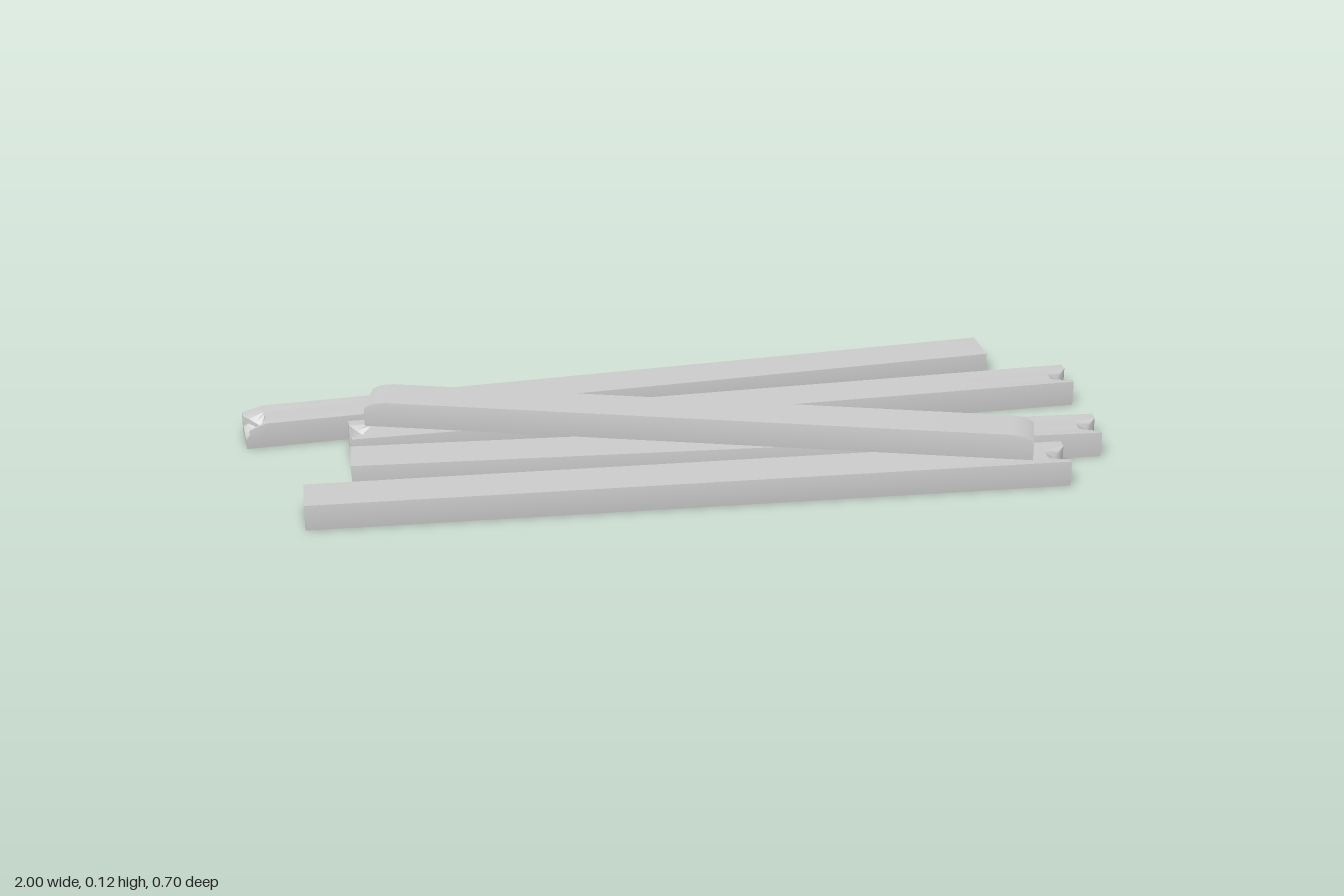
import * as THREE from 'three';
import { toCreasedNormals } from 'three/addons/utils/BufferGeometryUtils.js';

const H = 0.062, END = 0.05;
const tent = (v, c, w) => Math.max(0, 1 - Math.abs(v - c) / w);

// End shapes: u is height 0..1, v is across the width -1..1.
// Each returns [pull back along the length, drop in height].
const ends = {
  flat: () => [0, 0],
  // V-shaped split in the upper face
  split: (u, v) => [0.035 * u * tent(v, 0.1, 0.6), 0.018 * u * u * tent(v, 0.1, 0.6)],
  // lower half broken away
  undercut: (u, v) => [0.03 * (1 - u) * tent(v, 0, 1.1), 0],
  // upper half broken away, leaving a tongue
  tongue: (u, v) => [u > 0.6 ? 0.045 * tent(v, 0.35, 0.8) : 0, 0.012 * u + 0.016 * u * tent(v, 0.4, 0.7)],
  // worn top edge
  chamfer: (u, v) => [u > 0.9 ? 0.02 : 0, u > 0.9 ? 0.004 : 0],
};

// Beam lying between two points in plan, with a shape for each end
function beam(name, [x0, z0], [x1, z1], y, width, startEnd, finishEnd) {
  const dx = x1 - x0, dz = z1 - z0, length = Math.hypot(dx, dz);
  const geo = new THREE.BoxGeometry(length, H, width, 10, 4, 8);
  const p = geo.attributes.position;
  for (let i = 0; i < p.count; i++) {
    const x = p.getX(i), s = Math.sign(x), t = Math.abs(x) / (length / 2);
    const u = p.getY(i) / H + 0.5, v = p.getZ(i) / (width / 2);
    if (t > 0.99) {
      const [pull, drop] = ends[s < 0 ? startEnd : finishEnd](u, v);
      p.setX(i, x - s * pull);
      p.setY(i, p.getY(i) - drop);
    } else if (t > 0.75) {
      p.setX(i, s * (length / 2 - END)); // keeps the damage close to the end
    }
    // slightly eased long edges
    if (Math.abs(v) > 0.99 && (u > 0.99 || u < 0.01)) p.setZ(i, p.getZ(i) * 0.97);
  }
  geo.deleteAttribute('uv');
  const mesh = new THREE.Mesh(
    toCreasedNormals(geo, 0.45),
    new THREE.MeshStandardMaterial({ color: 0xcccccc })
  );
  mesh.name = name;
  mesh.position.set((x0 + x1) / 2, y + H / 2, (z0 + z1) / 2);
  mesh.rotation.y = -Math.atan2(dz, dx);
  return mesh;
}

export function createModel() {
  const group = new THREE.Group();
  group.name = 'beamPile';
  group.add(
    // beams lying on the ground, back to front
    beam('backBeam', [-0.995, -0.125], [0.82, -0.3], 0, 0.102, 'tongue', 'undercut'),
    beam('innerBackBeam', [-0.748, -0.02], [0.996, -0.117], 0, 0.102, 'split', 'split'),
    beam('innerFrontBeam', [-0.75, 0.115], [0.998, 0.16], 0, 0.104, 'undercut', 'split'),
    beam('frontBeam', [-0.86, 0.295], [0.89, 0.295], 0, 0.108, 'flat', 'split'),
    // beam resting across the others
    beam('crossBeam', [-0.7, -0.09], [0.815, 0.28], H, 0.106, 'chamfer', 'chamfer')
  );
  return group;
}
